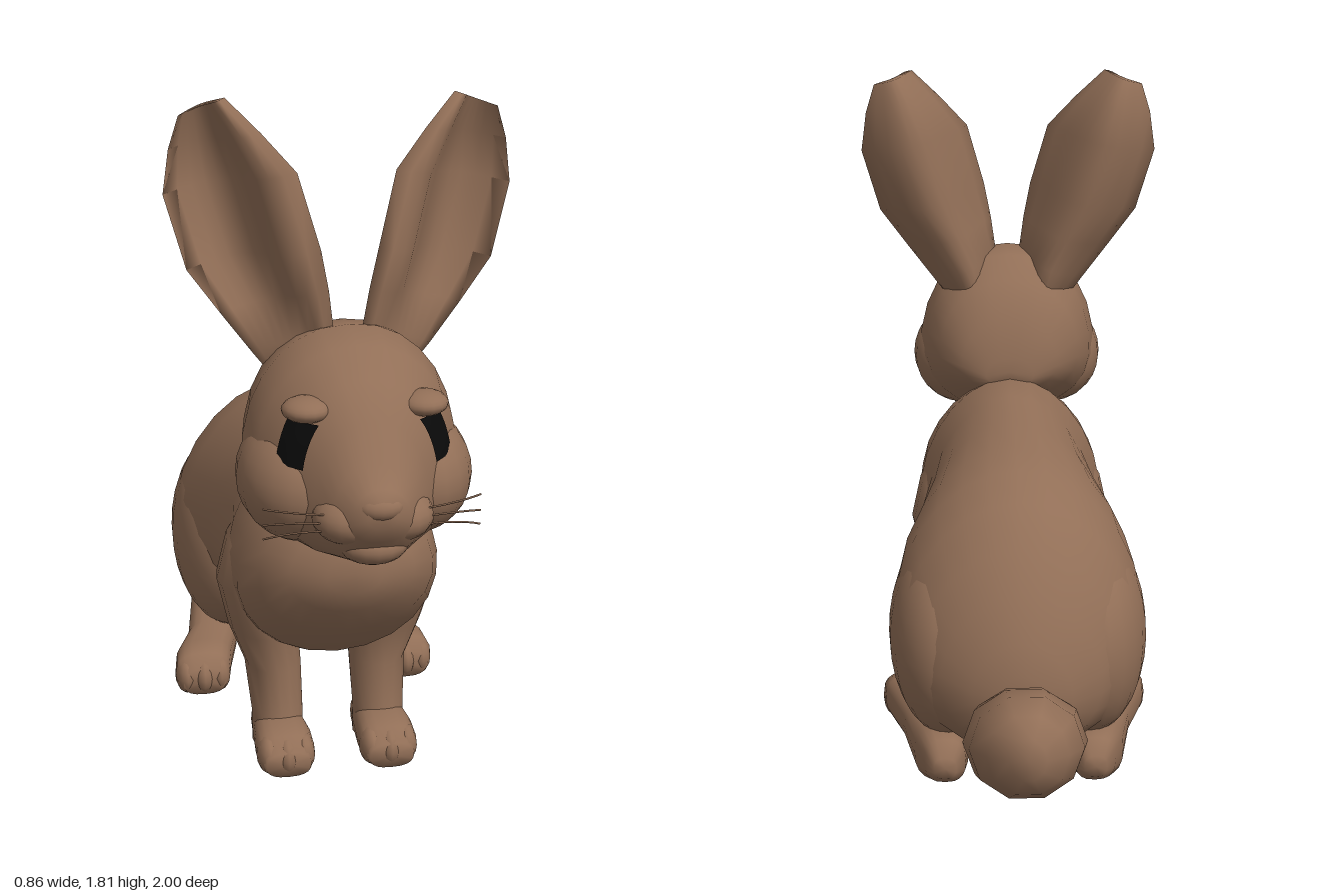
import * as THREE from 'three';

const fur = new THREE.MeshStandardMaterial({ color: 0x926f57 });
fur.name = 'brownFur';
const black = new THREE.MeshStandardMaterial({ color: 0x0a0a0a, side: THREE.DoubleSide });
black.name = 'eyeBlack';

const V = (x, y, z) => new THREE.Vector3(x, y, z);

// Skins a list of equal-length closed rings, caps both ends, and turns faces outward
function loft(rings) {
  const n = rings[0].length, pts = rings.flat(), idx = [];
  for (let i = 0; i < rings.length - 1; i++) {
    for (let j = 0; j < n; j++) {
      const a = i * n + j, b = i * n + (j + 1) % n;
      idx.push(a, b, b + n, a, b + n, a + n);
    }
  }
  for (const r of [0, rings.length - 1]) {
    const c = V(0, 0, 0);
    rings[r].forEach(p => c.addScaledVector(p, 1 / n));
    pts.push(c);
    for (let j = 0; j < n; j++) {
      const a = r * n + j, b = r * n + (j + 1) % n;
      if (r) idx.push(pts.length - 1, a, b); else idx.push(pts.length - 1, b, a);
    }
  }
  let volume = 0;
  const cross = V(0, 0, 0);
  for (let i = 0; i < idx.length; i += 3)
    volume += pts[idx[i]].dot(cross.crossVectors(pts[idx[i + 1]], pts[idx[i + 2]]));
  if (volume < 0) idx.reverse();
  const g = new THREE.BufferGeometry().setFromPoints(pts);
  g.setIndex(idx);
  g.computeVertexNormals();
  return g;
}

// Oval rings along z from rows [z, top, bottom, halfWidth, x]; taper widens the lower half
function alongZ(rows, { taper = 0, power = 1, side = 1, n = 24 } = {}) {
  const bend = v => Math.sign(v) * Math.abs(v) ** power;
  return loft(rows.map(([z, top, bottom, rx, x = 0]) => Array.from({ length: n }, (_, j) => {
    const a = j / n * Math.PI * 2, s = bend(Math.sin(a));
    return V(side * x + rx * bend(Math.cos(a)) * (1 - taper * s), (top + bottom) / 2 + (top - bottom) / 2 * s, z);
  })));
}

// Oval rings along y from rows [y, x, z, rx, rz]
function alongY(rows, side, n = 16) {
  return loft(rows.map(([y, x, z, rx, rz]) => Array.from({ length: n }, (_, j) => {
    const a = j / n * Math.PI * 2;
    return V(side * x + rx * Math.cos(a), y, z + rz * Math.sin(a));
  })));
}

const bodyRows = [
  [0.69, 0.71, 0.6, 0.07], [0.66, 0.78, 0.54, 0.16], [0.59, 0.83, 0.45, 0.225], [0.48, 0.88, 0.34, 0.265],
  [0.34, 0.92, 0.275, 0.27], [0.2, 0.905, 0.25, 0.25], [0, 0.89, 0.23, 0.275], [-0.18, 0.87, 0.18, 0.32],
  [-0.3, 0.845, 0.13, 0.335], [-0.41, 0.795, 0.11, 0.32], [-0.5, 0.7, 0.13, 0.275], [-0.57, 0.6, 0.17, 0.21],
  [-0.62, 0.49, 0.23, 0.13], [-0.64, 0.41, 0.29, 0.06]];
const tailRows = [
  [-0.6, 0.36, 0.28, 0.04], [-0.66, 0.385, 0.235, 0.075], [-0.72, 0.425, 0.175, 0.14], [-0.8, 0.46, 0.165, 0.155],
  [-0.9, 0.488, 0.205, 0.14], [-0.96, 0.465, 0.25, 0.1], [-1, 0.42, 0.31, 0.045]];

const headShape = { taper: 0.14, power: 0.88 };
const headRows = [
  [0.33, 0.98, 0.9, 0.07], [0.35, 1.09, 0.88, 0.14], [0.41, 1.2, 0.84, 0.205], [0.5, 1.26, 0.78, 0.245],
  [0.6, 1.275, 0.74, 0.265], [0.7, 1.25, 0.735, 0.25], [0.8, 1.195, 0.75, 0.197], [0.87, 1.12, 0.77, 0.138],
  [0.92, 1.035, 0.8, 0.105], [0.97, 0.99, 0.86, 0.07], [0.99, 0.97, 0.9, 0.035]];

// Half width of the head at a given depth and height
function headWidth(z, y) {
  const i = headRows.findIndex(r => r[0] > z), a = headRows[i - 1], b = headRows[i];
  const t = (z - a[0]) / (b[0] - a[0]);
  const [, top, bottom, rx] = a.map((v, k) => v + (b[k] - v) * t);
  const s = (y - (top + bottom) / 2) / ((top - bottom) / 2);
  const sine = Math.abs(s) ** (1 / headShape.power);
  return rx * Math.sqrt(1 - sine * sine) ** headShape.power * (1 - headShape.taper * s);
}

const frontLegRows = [
  [0.03, 0.14, 0.36, 0.07, 0.09], [0.12, 0.14, 0.35, 0.07, 0.08], [0.25, 0.145, 0.305, 0.077, 0.105],
  [0.36, 0.17, 0.3, 0.095, 0.13], [0.5, 0.2, 0.32, 0.097, 0.15], [0.62, 0.19, 0.33, 0.08, 0.14],
  [0.75, 0.16, 0.34, 0.03, 0.08]];
const pawRows = [
  [0.27, 0.08, 0.01, 0.05, 0.14], [0.3, 0.12, 0, 0.065, 0.14], [0.44, 0.125, 0, 0.077, 0.14],
  [0.5, 0.11, 0, 0.077, 0.14], [0.54, 0.08, 0.01, 0.06, 0.14]];
const hindFootRows = [
  [-0.52, 0.12, 0.06, 0.03, 0.2], [-0.49, 0.16, 0.035, 0.055, 0.2], [-0.41, 0.17, 0, 0.073, 0.21],
  [-0.2, 0.125, 0, 0.075, 0.245], [-0.05, 0.14, 0, 0.083, 0.29], [0.01, 0.125, 0, 0.08, 0.3],
  [0.045, 0.09, 0.01, 0.062, 0.3]];

// Ear sections: inner rim, outer rim, depth of the back, hollow of the front
const earRows = [
  [[0.05, 1.1, 0.57], [0.14, 1.08, 0.5], 0.1, -0.02], [[0.037, 1.27, 0.585], [0.225, 1.19, 0.51], 0.125, 0],
  [[0.05, 1.36, 0.595], [0.3, 1.29, 0.505], 0.14, 0.045], [[0.07, 1.46, 0.6], [0.38, 1.4, 0.495], 0.16, 0.09],
  [[0.12, 1.64, 0.56], [0.43, 1.58, 0.465], 0.14, 0.085], [[0.2, 1.73, 0.52], [0.415, 1.69, 0.47], 0.11, 0.06],
  [[0.28, 1.81, 0.48], [0.39, 1.77, 0.475], 0.055, 0.015]];

function earGeometry(side) {
  const back = V(-0.2, 0, -0.98), m = 10, rim = 0.3;
  const backDepth = s => Math.sin(Math.PI * s ** 1.2);
  return loft(earRows.map(([inner, outer, depth, hollow]) => {
    const I = V(...inner), O = V(...outer);
    const at = (s, d) => {
      const p = I.clone().lerp(O, s).addScaledVector(back, d);
      p.x *= side;
      return p;
    };
    // Rounded fold along the inner rim, then the hollow
    const front = s => s < rim ? -0.02 * Math.sin(Math.PI * s / rim) : hollow * Math.sin(Math.PI * (s - rim) / (1 - rim));
    const ring = [];
    for (let k = 0; k < m; k++) ring.push(at(k / m, depth * backDepth(k / m)));
    for (let k = m; k > 0; k--) ring.push(at(k / m, front(k / m)));
    return ring;
  }));
}

export function createModel() {
  const model = new THREE.Group();
  model.name = 'rabbit';
  const add = (name, geometry, material = fur) => {
    const mesh = new THREE.Mesh(geometry, material);
    mesh.name = name;
    model.add(mesh);
    return mesh;
  };
  const blob = (name, pos, radii, w = 16, h = 12) => {
    const mesh = add(name, new THREE.SphereGeometry(1, w, h));
    mesh.position.set(...pos);
    mesh.scale.set(...radii);
    return mesh;
  };

  add('body', alongZ(bodyRows, { taper: 0.13 }));
  add('head', alongZ(headRows, headShape));
  add('tail', alongZ(tailRows, { n: 10 }));
  blob('nose', [0, 0.945, 0.963], [0.055, 0.032, 0.037]);
  blob('chin', [0, 0.825, 0.885], [0.085, 0.048, 0.075]);

  for (const side of [1, -1]) {
    const label = side > 0 ? 'left' : 'right';

    // Face
    blob(label + 'Cheek', [side * 0.14, 0.92, 0.66], [0.15, 0.155, 0.2], 20, 14);
    blob(label + 'MuzzlePad', [side * 0.06, 0.893, 0.88], [0.085, 0.062, 0.09]);
    blob(label + 'Brow', [side * 0.14, 1.13, 0.785], [0.06, 0.03, 0.06]).rotation.y = side * 0.6;
    const eye = new THREE.PlaneGeometry(0.066, 0.105, 6, 6);
    const p = eye.attributes.position;
    for (let i = 0; i < p.count; i++) {
      const y = 1.053 + p.getY(i), z = 0.805 + p.getX(i) + p.getY(i) * -0.1;
      p.setXYZ(i, side * (headWidth(z, y) + 0.007), y, z + 0.003);
    }
    eye.computeVertexNormals();
    add(label + 'Eye', eye, black);
    for (const [y0, y1] of [[0.915, 0.925], [0.895, 0.885], [0.875, 0.85]]) {
      const path = new THREE.QuadraticBezierCurve3(
        V(side * 0.1, y0, 0.92), V(side * 0.19, y0 + 0.01, 0.925), V(side * 0.26, y1, 0.88));
      add(label + 'Whisker', new THREE.TubeGeometry(path, 8, 0.0025, 5));
    }
    add(label + 'Ear', earGeometry(side));

    // Front leg with paw and toes
    add(label + 'FrontLeg', alongY(frontLegRows, side));
    add(label + 'FrontPaw', alongZ(pawRows, { power: 0.75, side, n: 20 }));
    for (const k of [-1, 0, 1])
      blob(label + 'FrontToe', [side * 0.14 + k * 0.047, 0.054, k ? 0.485 : 0.495], [0.032, 0.052, 0.055], 12, 8);

    // Hind leg with long foot and toes
    blob(label + 'Haunch', [side * 0.19, 0.385, -0.28], [0.16, 0.285, 0.28], 24, 16);
    add(label + 'HindFoot', alongZ(hindFootRows, { power: 0.75, side, n: 20 }));
    for (const k of [-1, 0, 1])
      blob(label + 'HindToe', [side * 0.3 + k * 0.049, 0.056, k ? -0.005 : 0.005], [0.032, 0.055, 0.057], 12, 8);
  }
  return model;
}
